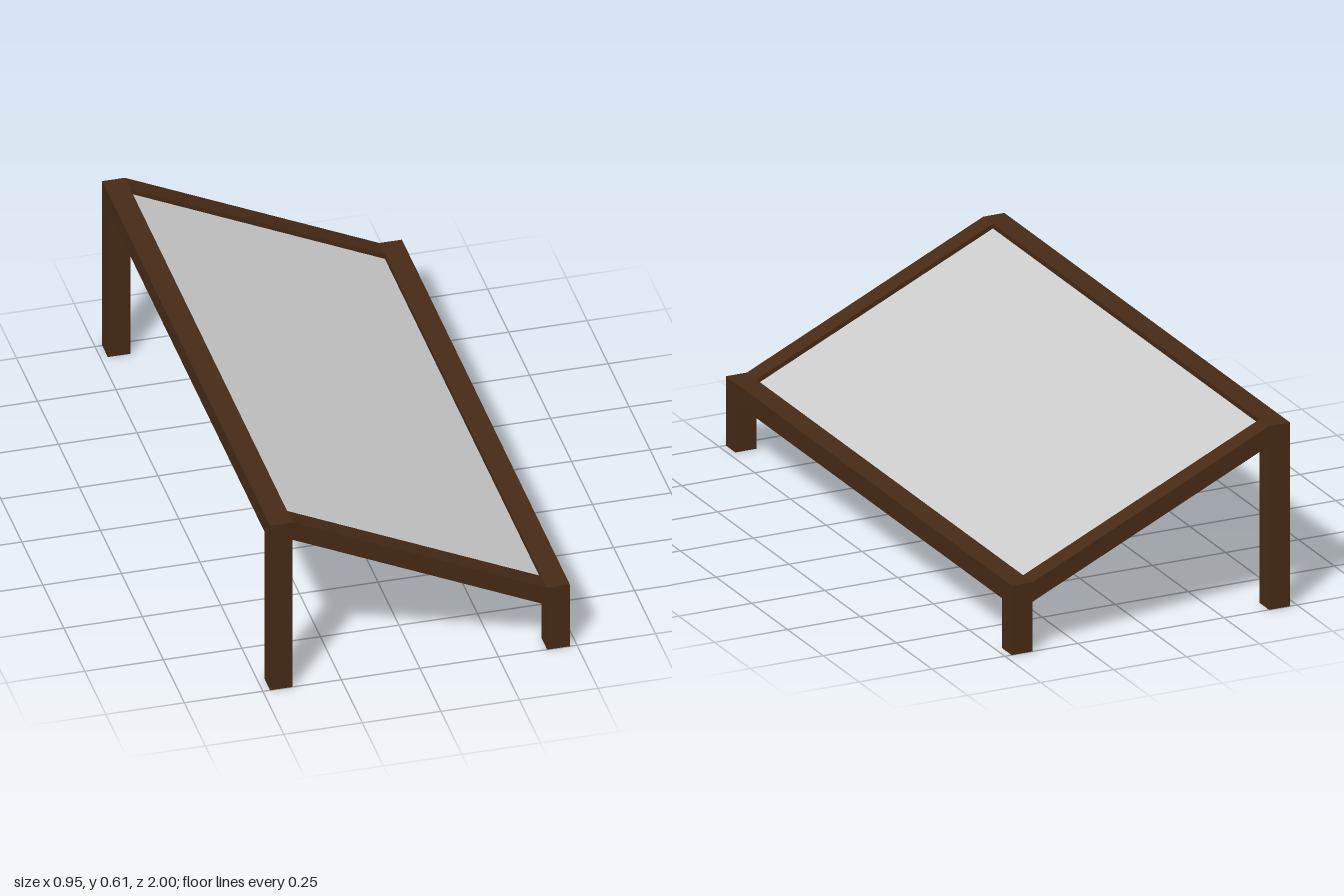
import * as THREE from 'three';

const X = 0.477, XI = 0.405;      // outer and inner half width
const Z = 1, ZI = 0.933;          // outer and inner half length
const HIGH = 0.605, LOW = 0.228;  // frame top at the tall and short ends
const RAIL = 0.064;               // rail depth

export function createModel() {
  const group = new THREE.Group();
  const wood = new THREE.MeshStandardMaterial({ color: 0x472a16 });
  const grey = new THREE.MeshStandardMaterial({ color: 0xcccccc });

  const box = (name, x0, x1, y0, y1, z0, z1) => {
    const mesh = new THREE.Mesh(new THREE.BoxGeometry(x1 - x0, y1 - y0, z1 - z0), wood);
    mesh.position.set((x0 + x1) / 2, (y0 + y1) / 2, (z0 + z1) / 2);
    mesh.name = name;
    group.add(mesh);
  };

  // Sloping slab with vertical ends, between two drops below the frame top
  const slope = (name, top, bottom, z0, z1, material) => {
    const shape = new THREE.Shape([
      new THREE.Vector2(-XI, HIGH - bottom),
      new THREE.Vector2(XI, LOW - bottom),
      new THREE.Vector2(XI, LOW - top),
      new THREE.Vector2(-XI, HIGH - top),
    ]);
    const geometry = new THREE.ExtrudeGeometry(shape, { depth: z1 - z0, bevelEnabled: false });
    const mesh = new THREE.Mesh(geometry, material);
    mesh.position.z = z0;
    mesh.name = name;
    group.add(mesh);
  };

  // Legs and sloping rails at the front and back
  for (const [end, z0, z1] of [['front', ZI, Z], ['back', -Z, -ZI]]) {
    box(end + 'TallLeg', -X, -XI, 0, HIGH, z0, z1);
    box(end + 'ShortLeg', XI, X, 0, LOW, z0, z1);
    slope(end + 'SlopingRail', 0, RAIL, z0, z1, wood);
  }

  // Long level rails between the legs
  box('upperRail', -X, -XI, HIGH - RAIL, HIGH, -ZI, ZI);
  box('lowerRail', XI, X, LOW - RAIL, LOW, -ZI, ZI);

  // Panel recessed in the frame
  slope('panel', 0.016, 0.036, -ZI, ZI, grey);

  return group;
}
